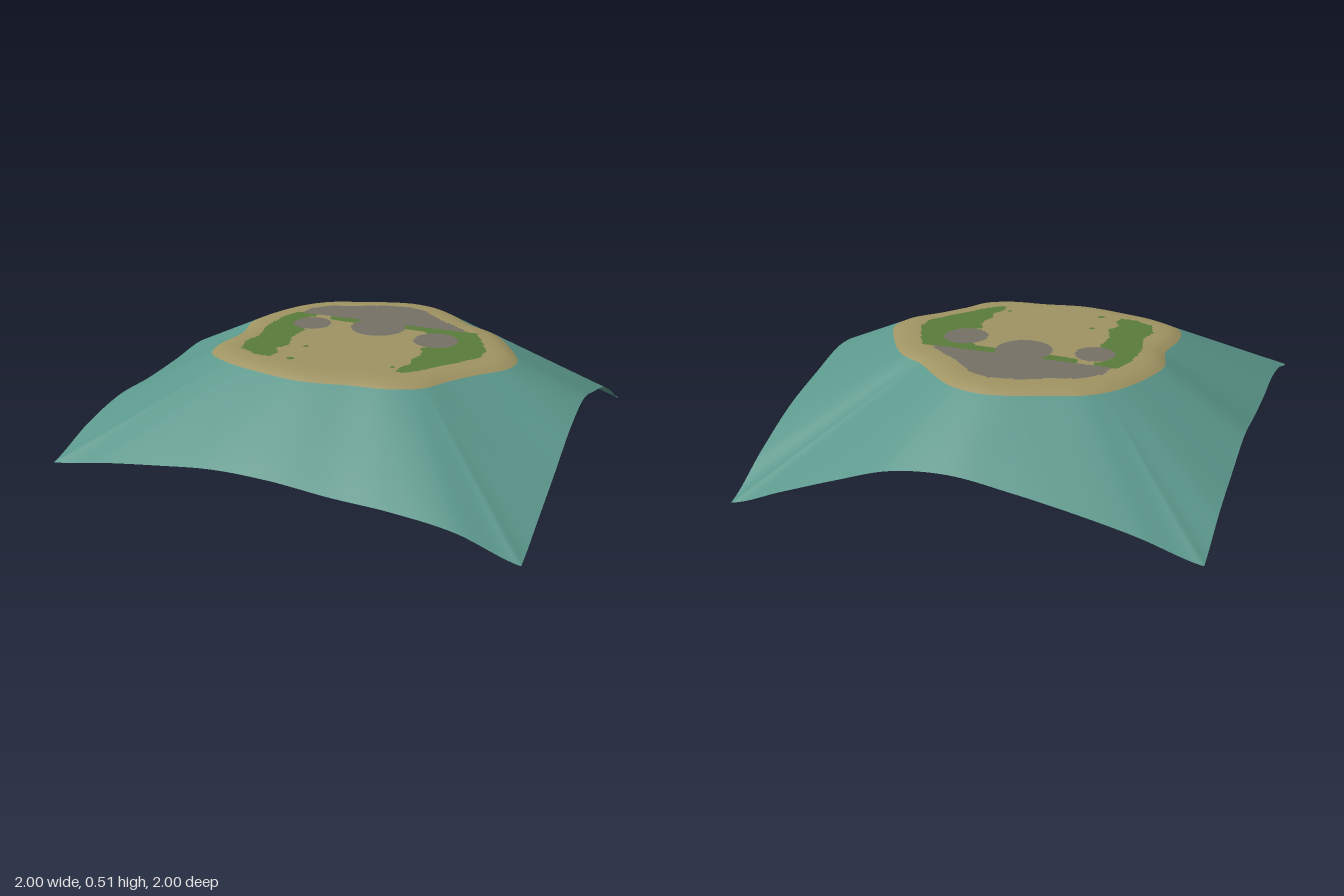
import * as THREE from 'three';

const SIDE = 100;      // steps along each side of the square
const PLATEAU = 60;    // rings on the flat top
const SLOPE = 8;       // rings from the coast to the outer edge

const paint = (name, color) => {
  const m = new THREE.MeshStandardMaterial({ color, side: THREE.DoubleSide });
  m.name = name;
  return m;
};

// smooth closed outline through [x, z] points
const outline = (pts, n) => new THREE.CatmullRomCurve3(
  pts.map(([x, z]) => new THREE.Vector3(x, 0, z)), true).getPoints(n);

const coast = outline([
  [0.03, -0.63], [0.15, -0.6], [0.25, -0.53], [0.38, -0.41], [0.51, -0.33], [0.62, -0.18],
  [0.705, 0], [0.69, 0.1], [0.59, 0.22], [0.5, 0.34], [0.43, 0.45], [0.31, 0.51],
  [0.14, 0.53], [-0.07, 0.56], [-0.29, 0.52], [-0.45, 0.47], [-0.57, 0.39], [-0.6, 0.27],
  [-0.58, 0.08], [-0.615, -0.09], [-0.58, -0.24], [-0.5, -0.4], [-0.4, -0.5],
  [-0.24, -0.565], [-0.07, -0.62]], 400);

// distance from the centre to the coast along a direction
function coastRadius(dx, dz) {
  for (let i = 0; i < coast.length - 1; i++) {
    const p = coast[i], q = coast[i + 1];
    const a = dx * p.z - dz * p.x, b = dx * q.z - dz * q.x;
    if (a * b <= 0 && a !== b && dx * p.x + dz * p.z > 0) return (p.x * q.z - p.z * q.x) / (b - a);
  }
  return 0.6;
}

// heights of the outer edge: front, right, back, left sides in turn
const edgeHeights = [
  [0.15, 0.19, 0.222, 0.248, 0.244, 0.22, 0.205, 0.17, 0.087],
  [0.087, 0.16, 0.24, 0.325, 0.36, 0.305, 0.235, 0.125, 0],
  [0, 0.095, 0.19, 0.275, 0.3, 0.27, 0.228, 0.175, 0.105],
  [0.105, 0.19, 0.245, 0.292, 0.275, 0.265, 0.268, 0.225, 0.15],
].map(h => new THREE.SplineCurve(h.map((y, i) => new THREE.Vector2(i, y))));

// ground cover: polygons and circles on the flat top
const rockField = [[-0.42, -0.235], [-0.41, -0.32], [-0.32, -0.4], [-0.2, -0.44], [-0.1, -0.49],
  [0.03, -0.51], [0.13, -0.47], [0.22, -0.38], [0.32, -0.31], [0.4, -0.25], [0.39, -0.235]];
const boulders = [[0, -0.16, 0.126], [-0.31, -0.105, 0.088], [0.31, -0.075, 0.1]];
const grassFields = [
  [[-0.44, -0.24], [-0.48, -0.14], [-0.49, 0], [-0.46, 0.15], [-0.48, 0.25], [-0.45, 0.34],
    [-0.36, 0.385], [-0.29, 0.39], [-0.28, 0.33], [-0.31, 0.28], [-0.275, 0.22], [-0.31, 0.12],
    [-0.3, 0], [-0.38, -0.1], [-0.36, -0.19], [-0.335, -0.2], [-0.34, -0.24]],
  [[-0.27, -0.24], [-0.26, -0.19], [-0.2, -0.18], [-0.1, -0.18], [-0.1, -0.24]],
  [[0.1, -0.24], [0.1, -0.18], [0.22, -0.175], [0.28, -0.13], [0.38, -0.05], [0.31, 0.02],
    [0.28, 0.05], [0.3, 0.08], [0.31, 0.14], [0.29, 0.2], [0.31, 0.26], [0.28, 0.31],
    [0.28, 0.37], [0.32, 0.37], [0.37, 0.32], [0.43, 0.24], [0.5, 0.15], [0.56, 0.06],
    [0.56, -0.02], [0.5, -0.15], [0.45, -0.24]],
];
const tufts = [[-0.2, 0.21, 0.012], [-0.195, 0.38, 0.015], [0.25, 0.32, 0.01]];

function inPolygon(poly, x, z) {
  let inside = false;
  poly.forEach(([ax, az], i) => {
    const [bx, bz] = poly[(i + 1) % poly.length];
    if ((az > z) !== (bz > z) && x < ax + (bx - ax) * (z - az) / (bz - az)) inside = !inside;
  });
  return inside;
}
const inCircle = (x, z) => ([cx, cz, r]) => Math.hypot(x - cx, z - cz) < r;

function cover(x, z) {
  if (inPolygon(rockField, x, z) || boulders.some(inCircle(x, z))) return 'rock';
  if (grassFields.some(p => inPolygon(p, x, z)) || tufts.some(inCircle(x, z))) return 'grass';
  return 'sand';
}

export function createModel() {
  const group = new THREE.Group();
  group.name = 'island';
  const materials = {
    sea: paint('sea teal', 0x5b978b),
    sand: paint('sand', 0x9f9362),
    grass: paint('grass green', 0x5a7b3b),
    rock: paint('rock grey', 0x757065),
  };

  // rays from the centre to the square edge, each with a flat top, a rounded shoulder and a slope
  const count = SIDE * 4, shoulder = [[-0.06, 0.509], [-0.03, 0.502], [0, 0.488]];
  const rays = [];
  for (let i = 0; i < count; i++) {
    const side = Math.floor(i / SIDE), t = (i % SIDE) / SIDE, u = t * 2 - 1;
    const [ex, ez] = [[u, 1], [1, -u], [-u, -1], [-1, u]][side];
    const len = Math.hypot(ex, ez), dx = ex / len, dz = ez / len;
    const R = coastRadius(dx, dz), edgeY = edgeHeights[side].getPoint(t).y;
    const profile = [];
    for (let k = 0; k <= PLATEAU; k++) profile.push([(R - 0.1) * k / PLATEAU, 0.512]);
    shoulder.forEach(([d, y]) => profile.push([R + d, y]));
    for (let k = 1; k <= SLOPE; k++) {
      const s = k / SLOPE;
      profile.push([R + (len - R) * s, 0.488 + (edgeY - 0.488) * s]);
    }
    rays.push(profile.map(([r, y]) => [dx * r, y, dz * r]));
  }

  // one shared surface, sorted into one index list for each ground cover
  const rings = rays[0].length, coastRing = PLATEAU + shoulder.length;
  const faces = { sea: [], sand: [], grass: [], rock: [] };
  for (let i = 0; i < count; i++) {
    const j = (i + 1) % count;
    for (let k = 0; k < rings - 1; k++) {
      const a = i * rings + k, d = j * rings + k;
      const p = rays[i][k], q = rays[j][k + 1];
      const kind = k >= coastRing ? 'sea' : k >= PLATEAU ? 'sand'
        : cover((p[0] + q[0]) / 2, (p[2] + q[2]) / 2);
      faces[kind].push(a, a + 1, d + 1);
      if (k > 0) faces[kind].push(a, d + 1, d);
    }
  }
  const surface = new THREE.BufferGeometry();
  surface.setAttribute('position', new THREE.Float32BufferAttribute(rays.flat(2), 3));
  surface.setIndex(Object.values(faces).flat());
  surface.computeVertexNormals();
  for (let i = 0; i < count; i++) surface.attributes.normal.setXYZ(i * rings, 0, 1, 0);

  const names = { sea: 'seaSlope', sand: 'beach', grass: 'grassPatches', rock: 'rockPatches' };
  for (const kind in faces) {
    const geometry = new THREE.BufferGeometry();
    geometry.setAttribute('position', surface.attributes.position);
    geometry.setAttribute('normal', surface.attributes.normal);
    geometry.setIndex(faces[kind]);
    const mesh = new THREE.Mesh(geometry, materials[kind]);
    mesh.name = names[kind];
    group.add(mesh);
  }
  return group;
}
